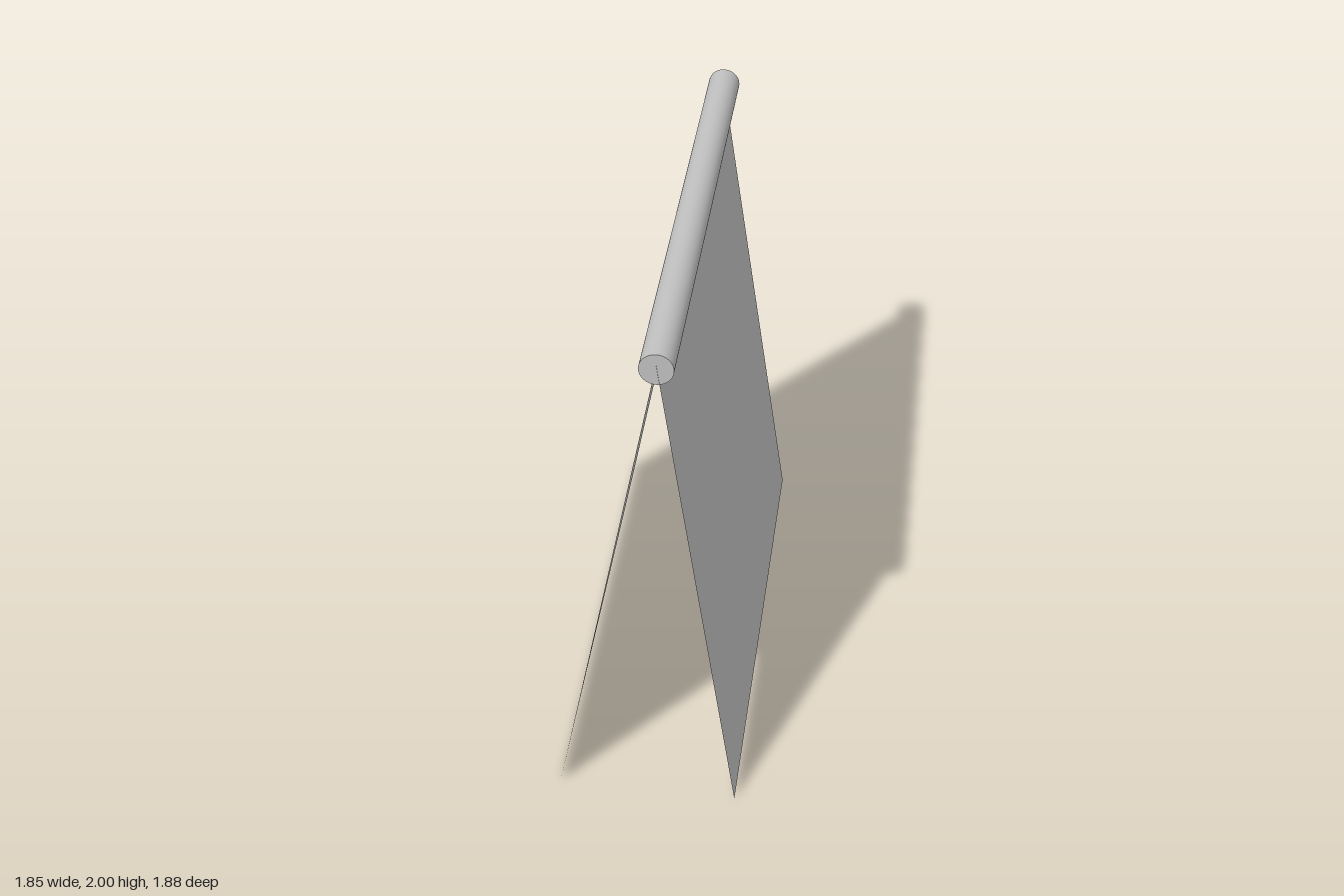
import * as THREE from 'three';

export function createModel() {
  const model = new THREE.Group();
  const grey = new THREE.MeshStandardMaterial({ color: 0xc0c0c0, side: THREE.DoubleSide });
  grey.name = 'plain grey';

  // The stand is built along x, then turned 45 degrees.
  const stand = new THREE.Group();
  stand.name = 'foldingStand';
  stand.rotation.y = Math.PI / 4;
  model.add(stand);

  const axisZ = 0.046, radius = 0.06, apexY = 1.96;

  // Round bar along the ridge
  const bar = new THREE.Mesh(new THREE.CylinderGeometry(radius, radius, 1.998, 48), grey);
  bar.name = 'ridgeBar';
  bar.rotation.z = Math.PI / 2;
  bar.position.set(0.005, 2 - radius, axisZ);
  stand.add(bar);

  // Thin sloping sheet from the ridge down to its foot
  function addPanel(name, centreX, footY, footZ) {
    const rise = apexY - footY, run = axisZ - footZ;
    const panel = new THREE.Mesh(new THREE.PlaneGeometry(1.975, Math.hypot(rise, run)), grey);
    panel.name = name;
    panel.rotation.x = Math.atan2(run, rise);
    panel.position.set(centreX, (apexY + footY) / 2, (axisZ + footZ) / 2);
    stand.add(panel);
  }
  addPanel('frontPanel', -0.009, 0, 0.331);
  addPanel('backPanel', 0.01, 0.008, -0.331);

  return model;
}
